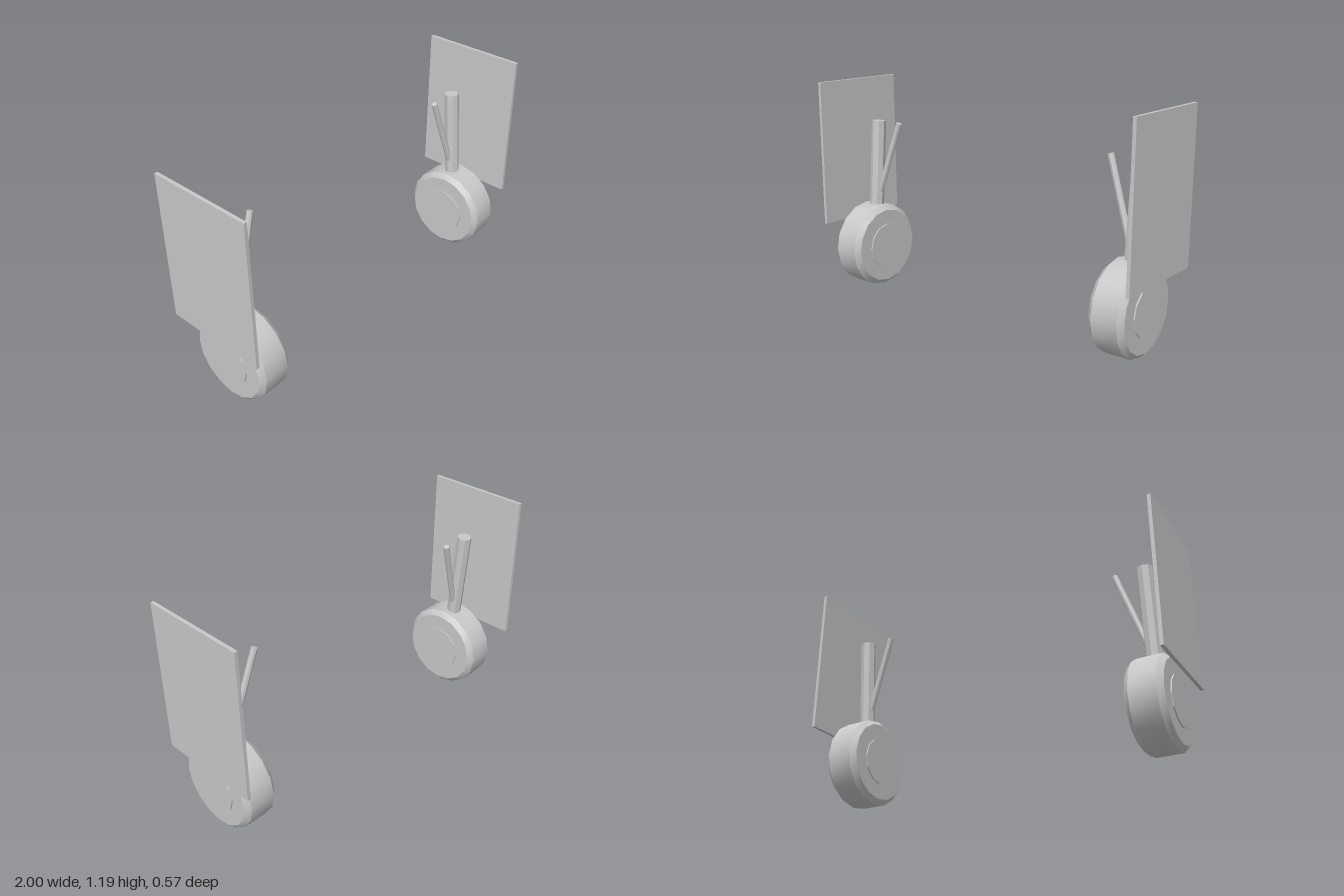
import * as THREE from 'three';
import { toCreasedNormals } from 'three/addons/utils/BufferGeometryUtils.js';

const WHEEL = { x: 0.857, y: 0.239, z: 0.025 };

export function createModel() {
  const grey = new THREE.MeshStandardMaterial({ color: 0xc8c8c8 });
  grey.name = 'plainGrey';
  const model = new THREE.Group();
  model.name = 'landingWheels';

  const add = (parent, name, geometry) => {
    const mesh = new THREE.Mesh(toCreasedNormals(geometry, 0.5), grey);
    mesh.name = name;
    parent.add(mesh);
    return mesh;
  };

  // Cylinder running between two points
  const rod = (parent, name, from, to, radius) => {
    const axis = to.clone().sub(from);
    const mesh = add(parent, name, new THREE.CylinderGeometry(radius, radius, axis.length(), 8));
    mesh.position.copy(from).add(to).multiplyScalar(0.5);
    mesh.quaternion.setFromUnitVectors(new THREE.Vector3(0, 1, 0), axis.normalize());
  };

  for (const side of [1, -1]) {
    const gear = new THREE.Group();
    gear.name = side > 0 ? 'leftGear' : 'rightGear';
    model.add(gear);

    // Tyre with bevelled shoulders
    const profile = [[0, -0.096], [0.212, -0.096], [0.238, -0.069], [0.238, 0.069], [0.212, 0.096], [0, 0.096]]
      .map(([r, h]) => new THREE.Vector2(r, h));
    const tyre = add(gear, 'tyre', new THREE.LatheGeometry(profile, 16).rotateZ(-Math.PI / 2));
    tyre.position.set(side * WHEEL.x, WHEEL.y, WHEEL.z);

    // Hub, slightly proud of the tyre on both faces
    const hub = add(gear, 'hub', new THREE.CylinderGeometry(0.13, 0.13, 0.206, 12).rotateZ(-Math.PI / 2));
    hub.position.copy(tyre.position);

    // Main leg leaning back, and the brace slanting inward from it
    const x = side * 0.855;
    rod(gear, 'leg', new THREE.Vector3(x, 0.24, 0.025), new THREE.Vector3(x, 0.96, -0.031), 0.041);
    rod(gear, 'brace', new THREE.Vector3(x, 0.475, 0.006), new THREE.Vector3(side * 0.694, 0.957, -0.031), 0.0165);

    // Outer door panel
    const door = add(gear, 'door', new THREE.BoxGeometry(0.018, 0.81, 0.572));
    door.position.set(side * 0.991, 0.791, 0);
  }
  return model;
}
